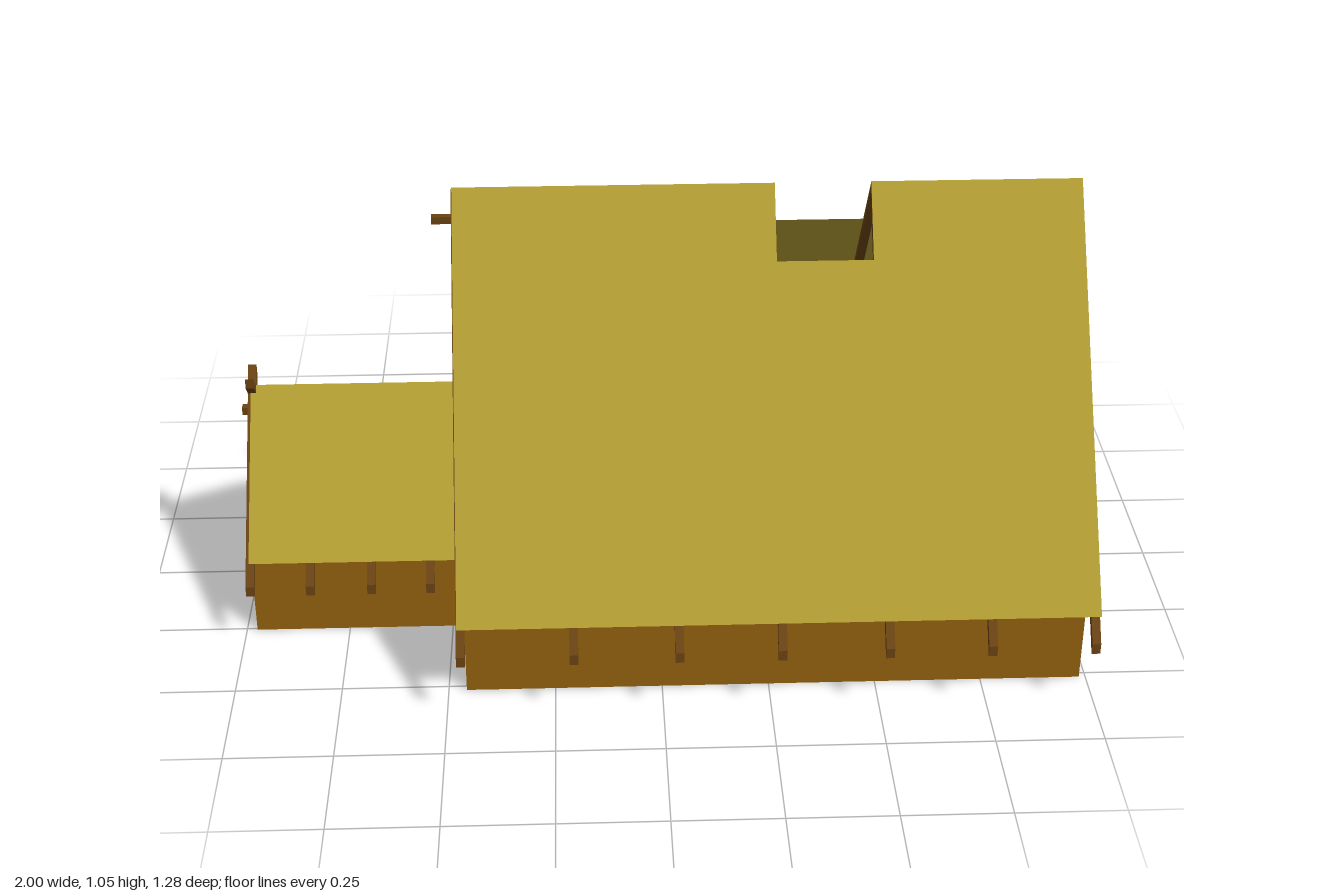
import * as THREE from 'three';

const mat = (name, color, side = THREE.FrontSide) => {
  const m = new THREE.MeshStandardMaterial({ color, side });
  m.name = name;
  return m;
};

export function createModel() {
  const thatch = mat('thatch', 0xb39e32, THREE.DoubleSide);
  const clay = mat('clay wall', 0x94620f, THREE.DoubleSide);
  const timber = mat('dark timber', 0x6b4413);
  const house = new THREE.Group();
  house.name = 'longhouse';

  const add = (parent, name, geo, material) => {
    const mesh = new THREE.Mesh(geo, material);
    mesh.name = name;
    parent.add(mesh);
    return mesh;
  };
  const box = (parent, name, size, pos) =>
    add(parent, name, new THREE.BoxGeometry(...size), timber).position.set(...pos);
  const outline = (pts) => new THREE.Shape(pts.map((p) => new THREE.Vector2(...p)));

  // One roof slope: a flat outline in (x, distance from ridge) tilted into place
  function slope(parent, p, side) {
    const pts = [[p.roof[0], 0], [p.roof[0], p.eave], [p.roof[1], p.eave], [p.roof[1], 0]];
    if (p.hole) {
      const [a, b, d] = p.hole;
      pts.push([b, 0], [b, d], [a, d], [a, 0]);
    }
    const geo = new THREE.ShapeGeometry(outline(pts));
    const pos = geo.attributes.position;
    for (let i = 0; i < pos.count; i++) {
      const d = pos.getY(i);
      pos.setXYZ(i, pos.getX(i), p.ridge - p.pitch * d, side * d);
    }
    // Faces must wind so that they point up
    if (side > 0) geo.setIndex(Array.from(geo.index.array).reverse());
    geo.computeVertexNormals();
    add(parent, 'roofSlope', geo, thatch);
  }

  // One sloping rafter under the thatch; start < 0 runs past the ridge
  function rafter(parent, p, x, side, start = 0) {
    const w = 0.02, top = p.ridge - 0.004;
    const y = (d) => top - p.pitch * d;
    const pts = [[start, y(start)], [p.tip, y(p.tip)], [p.tip, y(p.tip) - 0.026], [start, y(start) - 0.026]];
    const geo = new THREE.ExtrudeGeometry(outline(pts.map(([d, h]) => [side * d, h])),
      { depth: w, bevelEnabled: false });
    geo.rotateY(-Math.PI / 2).translate(x + w / 2, 0, 0);
    add(parent, 'rafter', geo, timber);
  }

  // Walls, gables, roof and rafters of one wing
  function building(name, p) {
    const g = new THREE.Group();
    g.name = name;
    house.add(g);
    const [x0, x1] = p.walls;
    const top = p.ridge - 0.012;
    const wallTop = top - p.pitch * p.half;
    for (const side of [1, -1]) {
      const wall = new THREE.PlaneGeometry(x1 - x0, wallTop);
      if (side < 0) wall.rotateY(Math.PI);
      wall.translate((x0 + x1) / 2, wallTop / 2, side * p.half);
      add(g, 'sideWall', wall, clay);
      slope(g, p, side);
      for (const x of p.rafters) rafter(g, p, x, side, x === p.crossed ? -0.036 : 0);
    }
    for (const x of p.gables) {
      const geo = new THREE.ShapeGeometry(outline(
        [[-p.half, 0], [p.half, 0], [p.half, wallTop], [0, top], [-p.half, wallTop]]));
      geo.rotateY(x === x1 ? Math.PI / 2 : -Math.PI / 2).translate(x, 0, 0);
      add(g, 'gableWall', geo, clay);
    }
    return g;
  }

  const hall = building('mainHall', {
    walls: [-0.458, 0.985], gables: [-0.458, 0.985], half: 0.515,
    roof: [-0.47, 1], ridge: 1.055, pitch: 1.355, eave: 0.605, tip: 0.64,
    hole: [0.28, 0.505, 0.11],
    rafters: [-0.462, -0.205, 0.035, 0.27, 0.515, 0.75, 0.986],
  });
  const porch = building('entranceWing', {
    walls: [-0.975, -0.458], gables: [-0.975], half: 0.255,
    roof: [-0.975, -0.462], ridge: 0.54, pitch: 1.12, eave: 0.29, tip: 0.325,
    rafters: [-0.972, -0.83, -0.685, -0.545], crossed: -0.972,
  });

  // Ridge pole ends
  box(hall, 'ridgePoleEnd', [0.065, 0.018, 0.018], [-0.4875, 0.975, 0]);
  box(porch, 'ridgePoleEnd', [0.04, 0.02, 0.02], [-0.98, 0.472, 0]);

  // Door frame and battens, showing on both faces of the end wall
  for (const z of [-0.13, 0.13]) box(porch, 'doorPost', [0.016, 0.27, 0.02], [-0.975, 0.135, z]);
  for (const z of [-0.012, 0.012]) box(porch, 'doorBatten', [0.012, 0.26, 0.01], [-0.975, 0.13, z]);
  box(porch, 'doorLintel', [0.016, 0.02, 0.28], [-0.975, 0.27, 0]);

  return house;
}
